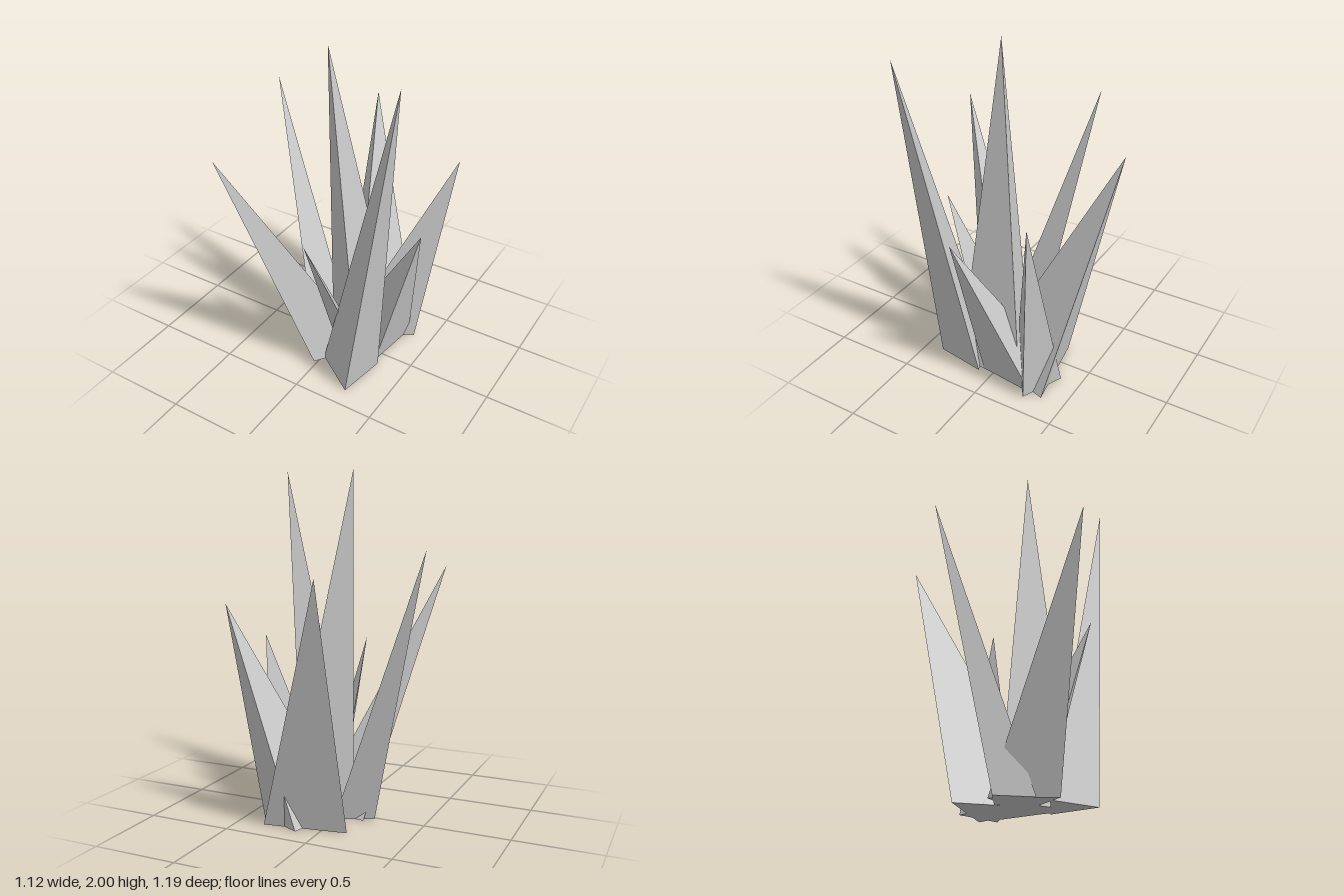
import * as THREE from 'three';

// Each crystal: name, tip [x, y, z] and three ground corners [x, z]
const CRYSTALS = [
  ['centreCrystal', [-0.01, 2.0, 0.11], [[-0.08, -0.04], [0.28, 0.25], [0.31, -0.19]]],
  ['frontLeftCrystal', [0.56, 2.0, 0.39], [[0.01, 0.21], [0.27, 0.39], [0.32, 0.09]]],
  ['leftCrystal', [0.56, 1.02, 0.09], [[0.29, 0.07], [0.335, -0.28], [-0.05, -0.15]]],
  ['backLeftCrystal', [0.55, 1.26, -0.375], [[-0.01, 0.015], [0.385, -0.26], [0.13, -0.375]]],
  ['backCrystal', [-0.105, 1.44, -0.595], [[-0.145, -0.28], [0.34, -0.355], [0.175, 0.13]]],
  ['rightCrystal', [-0.565, 1.575, -0.22], [[-0.08, 0.17], [-0.205, -0.02], [0.01, -0.107]]],
  ['frontRightCrystal', [-0.415, 1.435, 0.595], [[-0.02, 0.28], [0.19, -0.02], [-0.155, -0.07]]],
  ['smallFrontCrystal', [0.05, 0.985, 0.46], [[0.0, -0.12], [0.22, 0.09], [0.075, 0.12]]],
];

// Closed three-sided spike leaning from its ground triangle to its tip
function spikeGeometry(tip, corners) {
  const t = new THREE.Vector3(...tip);
  let [a, b, c] = corners.map(([x, z]) => new THREE.Vector3(x, 0, z));
  const up = b.clone().sub(a).cross(c.clone().sub(a)).y;
  if (up < 0) [b, c] = [c, b]; // keep the corners counter-clockwise from above
  const geometry = new THREE.BufferGeometry().setFromPoints([a, b, t, b, c, t, c, a, t, a, c, b]);
  geometry.computeVertexNormals();
  return geometry;
}

export function createModel() {
  const group = new THREE.Group();
  group.name = 'crystalCluster';
  const material = new THREE.MeshStandardMaterial({ color: 0xcccccc, flatShading: true });
  for (const [name, tip, corners] of CRYSTALS) {
    const mesh = new THREE.Mesh(spikeGeometry(tip, corners), material);
    mesh.name = name;
    group.add(mesh);
  }
  return group;
}
